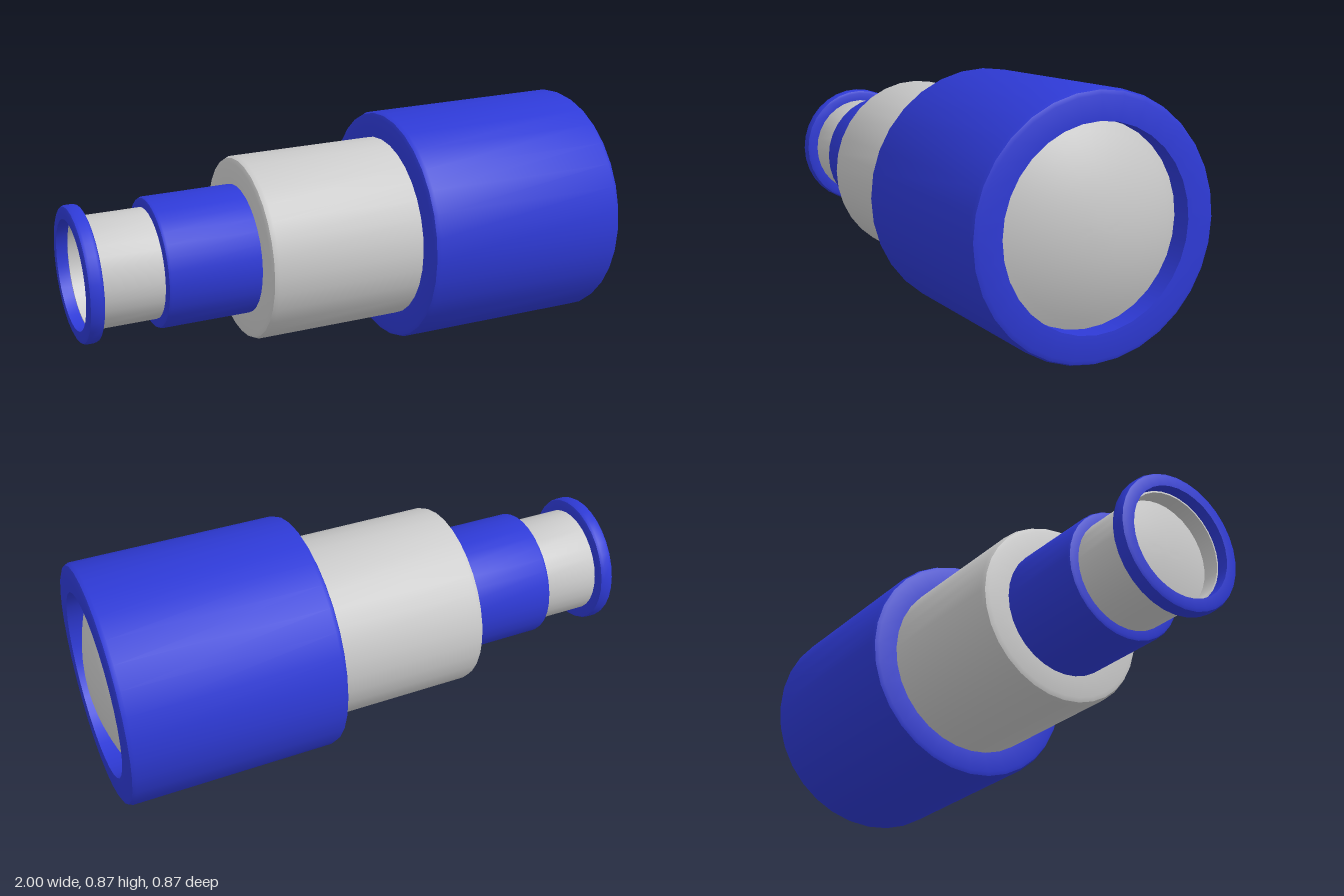
import * as THREE from 'three';
import { toCreasedNormals } from 'three/addons/utils/BufferGeometryUtils.js';

const SEGMENTS = 32;
const AXIS_Y = 0.438;

export function createModel() {
  const model = new THREE.Group();
  model.name = 'spyglass';
  const blue = new THREE.MeshStandardMaterial({ color: 0x2e3ad6 });
  const grey = new THREE.MeshStandardMaterial({ color: 0xcccccc });

  // Turn a profile of [radius, x] points about the long axis
  function turned(name, profile, material) {
    const points = profile.map(([r, x]) => new THREE.Vector2(r, x));
    const geometry = toCreasedNormals(new THREE.LatheGeometry(points, SEGMENTS), 0.6);
    geometry.rotateZ(-Math.PI / 2);
    const mesh = new THREE.Mesh(geometry, material);
    mesh.name = name;
    mesh.position.y = AXIS_Y;
    model.add(mesh);
  }

  // Hollow tube from x0 to x1 with rounded outer rims
  function tube(name, x0, x1, outer0, outer1, inner, bevel, material) {
    const b = bevel, s = bevel * 0.3;
    turned(name, [
      [inner, x0], [outer0 - b, x0], [outer0 - s, x0 + s], [outer0, x0 + b],
      [outer1, x1 - b], [outer1 - s, x1 - s], [outer1 - b, x1],
      [inner, x1], [inner, x0],
    ], material);
  }

  // Shallow domed disc; its edge lies at xEdge and its middle at xMiddle
  function lens(name, radius, xEdge, xMiddle, material) {
    const profile = [];
    for (let i = 0; i <= 8; i++) {
      const t = i / 8;
      profile.push([radius * t, xMiddle + (xEdge - xMiddle) * t * t]);
    }
    if (xMiddle > xEdge) profile.reverse();
    turned(name, profile, material);
  }

  // Telescoping barrels, from the eye end to the front
  tube('eyepieceRing', -1, -0.945, 0.243, 0.243, 0.196, 0.014, blue);
  tube('eyepieceTube', -0.96, -0.7, 0.199, 0.199, 0.19, 0.004, grey);
  tube('rearBarrel', -0.725, -0.37, 0.235, 0.236, 0.18, 0.012, blue);
  tube('middleBarrel', -0.385, 0.23, 0.336, 0.338, 0.2, 0.022, grey);
  tube('frontBarrel', 0.195, 0.985, 0.433, 0.437, 0.336, 0.02, blue);

  // Lenses
  lens('eyeLens', 0.195, -0.9, -0.925, grey);
  lens('frontLens', 0.337, 0.91, 1, grey);

  return model;
}
